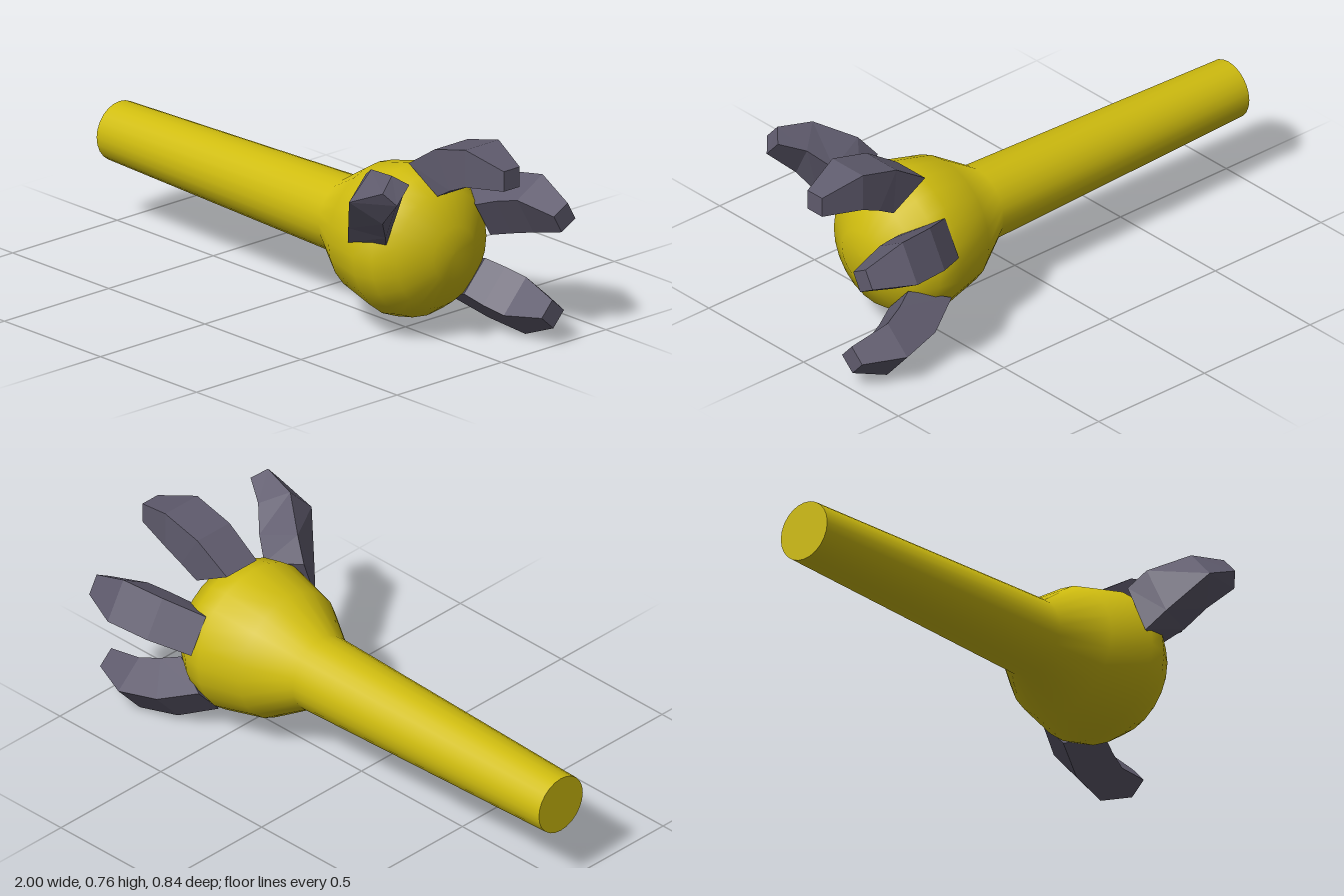
import * as THREE from 'three';

const AXIS_Y = 0.335, AXIS_Z = -0.012;

// Flat-shaded solid skinned over four-cornered rings (corners counterclockwise seen from +x)
function loft(rings) {
  const pos = [];
  const quad = (a, b, c, d) => pos.push(...a, ...b, ...c, ...a, ...c, ...d);
  for (let i = 0; i < rings.length - 1; i++) {
    for (let j = 0; j < 4; j++) {
      const k = (j + 1) % 4;
      quad(rings[i][j], rings[i][k], rings[i + 1][k], rings[i + 1][j]);
    }
  }
  const [a, b, c, d] = rings[0];
  quad(d, c, b, a);
  quad(...rings[rings.length - 1]);
  const geo = new THREE.BufferGeometry();
  geo.setAttribute('position', new THREE.Float32BufferAttribute(pos, 3));
  geo.computeVertexNormals();
  return geo;
}

// Claw sections: outer x, outer radius, inner x, inner radius, half width
const CLAW = [
  [0.54, 0.28, 0.69, 0.195, 0.075],
  [0.68, 0.37, 0.76, 0.235, 0.08],
  [0.84, 0.41, 0.84, 0.27, 0.08],
  [0.995, 0.36, 0.995, 0.285, 0.038],
];

// Claw placed around the arm axis: outward direction (z, y), sideways and radial shift
function fingerRings(oz, oy, shift, lift) {
  const tz = -oy, ty = oz;
  const at = (x, r, s) => [x, AXIS_Y + oy * (r + lift) + ty * s, AXIS_Z + oz * (r + lift) + tz * s];
  return CLAW.map(([xo, ro, xi, ri, w]) => [
    at(xo, ro, shift + w), at(xo, ro, shift - w), at(xi, ri, shift - w), at(xi, ri, shift + w),
  ]);
}

// Thumb leans out to the front side and twists as it rises
const THUMB = [
  [[0.476, 0.56, 0.193], [0.49, 0.38, 0.265], [0.636, 0.395, 0.217], [0.615, 0.53, 0.134]],
  [[0.54, 0.64, 0.226], [0.545, 0.46, 0.315], [0.69, 0.45, 0.27], [0.69, 0.59, 0.185]],
  [[0.67, 0.715, 0.32], [0.66, 0.612, 0.417], [0.74, 0.53, 0.33], [0.76, 0.66, 0.25]],
  [[0.81, 0.735, 0.35], [0.815, 0.68, 0.398], [0.85, 0.635, 0.362], [0.85, 0.70, 0.303]],
];

export function createModel() {
  const model = new THREE.Group();
  const yellow = new THREE.MeshStandardMaterial({ color: 0xd0bd0f });
  yellow.name = 'yellow skin';
  const grey = new THREE.MeshStandardMaterial({ color: 0x5f5b6d });
  grey.name = 'grey claw';
  const add = (name, geo, mat) => {
    const mesh = new THREE.Mesh(geo, mat);
    mesh.name = name;
    model.add(mesh);
    return mesh;
  };

  // Tapered arm swelling into a round fist
  const profile = [
    [0.11, -1], [0.142, 0.19], [0.243, 0.35], [0.283, 0.52],
    [0.267, 0.6], [0.215, 0.675], [0.1, 0.74], [0, 0.742],
  ].map(([r, x]) => new THREE.Vector2(r, x));
  const arm = add('armAndFist', new THREE.LatheGeometry(profile, 24).rotateZ(-Math.PI / 2), yellow);
  arm.position.set(0, AXIS_Y, AXIS_Z);

  // Closed rear end of the arm
  const cap = add('armEndCap', new THREE.CircleGeometry(0.11, 24).rotateY(-Math.PI / 2), yellow);
  cap.position.set(-1, AXIS_Y, AXIS_Z);

  // Three claws around the fist, then the thumb
  add('topClaw', loft(fingerRings(0, 1, 0.042, 0.015)), grey);
  add('backClaw', loft(fingerRings(-0.87, 0.49, 0.03, 0)), grey);
  add('lowerClaw', loft(fingerRings(-0.74, -0.67, 0, 0)), grey);
  add('thumbClaw', loft(THUMB), grey);
  return model;
}
